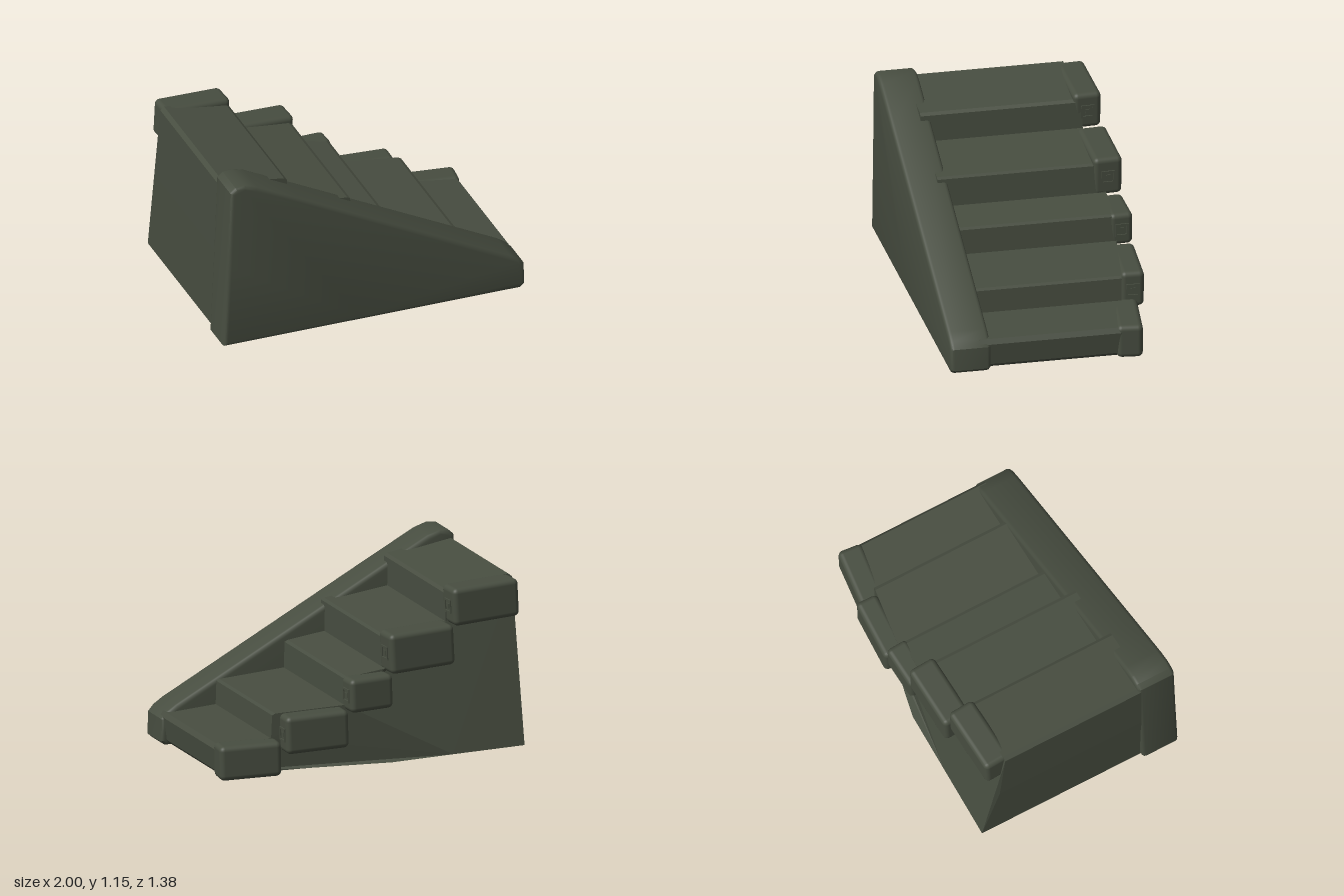
import * as THREE from 'three';
import { toCreasedNormals } from 'three/addons/utils/BufferGeometryUtils.js';
import { RoundedBoxGeometry } from 'three/addons/geometries/RoundedBoxGeometry.js';

const stone = new THREE.MeshStandardMaterial({ color: 0x474d40 });
stone.name = 'darkStone';

const polygon = (pts) => new THREE.Shape(pts.map(([x, y]) => new THREE.Vector2(x, y)));

// Linear interpolation through [x, value] pairs
function sample(pairs, x) {
  if (x <= pairs[0][0]) return pairs[0][1];
  for (let i = 1; i < pairs.length; i++) {
    const [x0, v0] = pairs[i - 1], [x1, v1] = pairs[i];
    if (x <= x1) return v0 + ((v1 - v0) * (x - x0)) / (x1 - x0);
  }
  return pairs[pairs.length - 1][1];
}

function reshape(geometry, rule) {
  const p = geometry.attributes.position;
  const v = new THREE.Vector3();
  for (let i = 0; i < p.count; i++) {
    v.fromBufferAttribute(p, i);
    rule(v);
    p.setXYZ(i, v.x, v.y, v.z);
  }
  geometry.computeVertexNormals();
  return geometry;
}

function addMesh(parent, name, geometry) {
  const mesh = new THREE.Mesh(geometry, stone);
  mesh.name = name;
  parent.add(mesh);
  return mesh;
}

// Sloping side wall, skewed so its low end sits further back
function buildWall() {
  const shape = polygon([
    [-1, 0.06], [-0.1, 0.035], [0.97, 0.005], [1, 0.03], [0.995, 0.17], [0.96, 0.21], [0.9, 0.25],
    [-0.5, 0.985], [-0.78, 1.13], [-0.86, 1.155], [-0.92, 1.15], [-0.955, 1.12], [-0.975, 0.6],
  ]);
  const bevel = 0.025;
  const geometry = new THREE.ExtrudeGeometry(shape, {
    depth: 0.25 - 2 * bevel, bevelEnabled: true, bevelSize: bevel,
    bevelThickness: bevel, bevelOffset: -bevel, bevelSegments: 3,
  });
  reshape(geometry, (v) => { v.z += 0.395 + bevel - 0.045 * v.x; });
  return toCreasedNormals(geometry, 0.6);
}

// Staircase body: step profile, with the back swelling out towards the ground
function buildStairs() {
  const shape = polygon([
    [-0.97, 0.06], [-0.5, 0.05], [-0.1, 0.04], [0.4, 0.03], [0.94, 0.015], [0.965, 0.04],
    [0.985, 0.18], [0.965, 0.21], [0.64, 0.23], [0.635, 0.375], [0.615, 0.385],
    [0.185, 0.41], [0.18, 0.57], [0.16, 0.58], [-0.085, 0.61], [-0.09, 0.79], [-0.11, 0.80],
    [-0.505, 0.85], [-0.51, 1.02], [-0.53, 1.035], [-0.93, 1.10], [-0.955, 1.08], [-0.97, 0.6],
  ]);
  const geometry = new THREE.ExtrudeGeometry(shape, { depth: 1, steps: 1, bevelEnabled: false });
  const topBack = [[-0.97, -0.48], [-0.5, -0.52], [0.18, -0.57], [0.63, -0.54], [0.97, -0.47]];
  const footBack = [[-0.97, -0.65], [-0.1, -0.66], [0.4, -0.56], [0.97, -0.47]];
  return reshape(geometry, (v) => {
    const t = Math.min(1, Math.max(0, (v.y - 0.06) / 0.75));
    const back = THREE.MathUtils.lerp(sample(footBack, v.x), sample(topBack, v.x), t);
    v.z = v.z > 0.5 ? 0.46 - 0.045 * v.x : back;
  });
}

// Square ring carved on a block's end, with a small boss in its middle
function addCarving(block, endX, size) {
  const carving = new THREE.Group();
  carving.name = 'endCarving';
  const ring = polygon([[-1, -1], [1, -1], [1, 1], [-1, 1]].map((p) => p.map((c) => c * size)));
  const k = size * 0.72;
  ring.holes.push(new THREE.Path([[-k, -k], [-k, k], [k, k], [k, -k]].map((p) => new THREE.Vector2(...p))));
  addMesh(carving, 'carvedRing', new THREE.ExtrudeGeometry(ring, { depth: 0.008, bevelEnabled: false }));
  addMesh(carving, 'carvedBoss', new THREE.BoxGeometry(size * 0.7, size * 0.7, 0.012));
  carving.rotation.y = Math.PI / 2;
  carving.position.x = endX;
  block.add(carving);
}

export function createModel() {
  const model = new THREE.Group();
  model.name = 'stoneStaircase';
  addMesh(model, 'slopedWall', buildWall());
  addMesh(model, 'stairBody', buildStairs());

  // Edge blocks, one at the back of every step: x, y and z ranges, turn, tilt
  const blocks = [
    [0.6, 0.99, 0.01, 0.225, -0.61, -0.45, -0.1, -0.02],
    [0.19, 0.595, 0.16, 0.395, -0.685, -0.54, -0.03, -0.03],
    [-0.1, 0.185, 0.38, 0.59, -0.685, -0.54, 0.06, -0.03],
    [-0.51, -0.08, 0.60, 0.85, -0.67, -0.49, 0.05, -0.05],
    [-0.95, -0.51, 0.85, 1.085, -0.625, -0.45, 0.06, -0.05],
  ];
  blocks.forEach(([x0, x1, y0, y1, z0, z1, turn, tilt], i) => {
    const block = new THREE.Group();
    block.name = `edgeBlock${i + 1}`;
    const length = x1 - x0;
    addMesh(block, 'roundedStone', new RoundedBoxGeometry(length, y1 - y0, z1 - z0, 3, 0.032));
    if (i > 0) addCarving(block, length / 2 - 0.001, 0.042);
    block.position.set((x0 + x1) / 2, (y0 + y1) / 2, (z0 + z1) / 2);
    block.rotation.set(0, turn, tilt);
    model.add(block);
  });
  return model;
}
